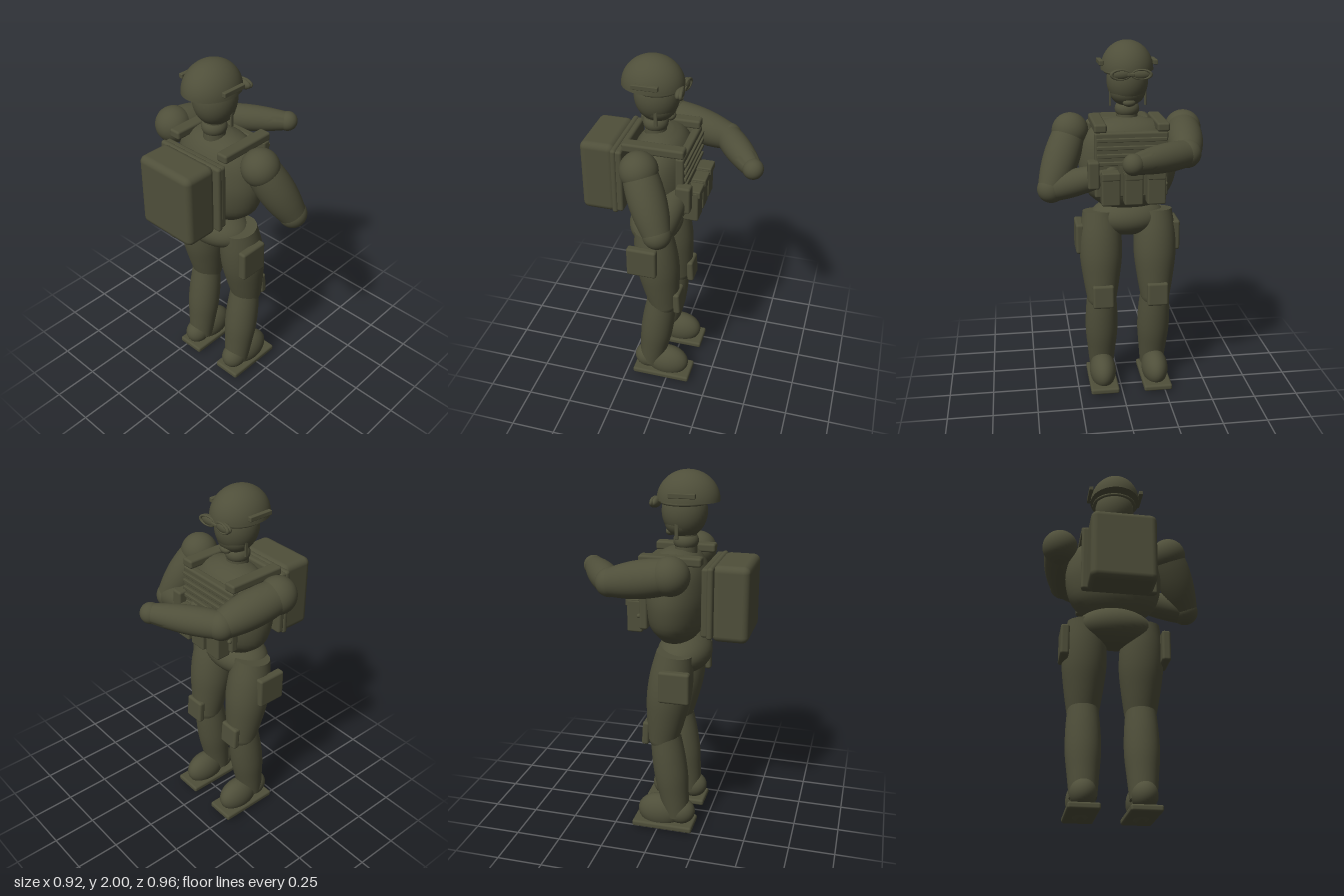
import * as THREE from 'three';
import { toCreasedNormals } from 'three/addons/utils/BufferGeometryUtils.js';
import { RoundedBoxGeometry } from 'three/addons/geometries/RoundedBoxGeometry.js';

const CX = -0.05; // body centre line
const V = (x, y, z) => new THREE.Vector3(x, y, z);

export function createModel() {
  const model = new THREE.Group();
  model.name = 'figure';
  const olive = new THREE.MeshStandardMaterial({ color: 0x4f4f3a });
  olive.name = 'olive';

  const add = (name, geometry, x = 0, y = 0, z = 0) => {
    const mesh = new THREE.Mesh(geometry, olive);
    mesh.name = name;
    mesh.position.set(x, y, z);
    model.add(mesh);
    return mesh;
  };
  const ball = (name, x, y, z, rx, ry = rx, rz = rx) =>
    add(name, new THREE.SphereGeometry(1, 40, 24).scale(rx, ry, rz), x, y, z);
  // box given by its limits on each axis
  const box = (name, [x0, x1], [y0, y1], [z0, z1], r = 0.01) =>
    add(name, new RoundedBoxGeometry(x1 - x0, y1 - y0, z1 - z0, 3, r),
      (x0 + x1) / 2, (y0 + y1) / 2, (z0 + z1) / 2);
  // smooth turned shape with flat ends
  const turned = (profile) => {
    const pts = new THREE.SplineCurve(profile.map(([r, y]) => new THREE.Vector2(r, y))).getPoints(24);
    pts.unshift(new THREE.Vector2(0, pts[0].y));
    pts.push(new THREE.Vector2(0, pts[pts.length - 1].y));
    return toCreasedNormals(new THREE.LatheGeometry(pts, 40), 0.8);
  };
  // limb from a to b with radii spaced evenly along it
  const limb = (name, a, b, radii) => {
    const d = b.clone().sub(a), len = d.length();
    const m = add(name, turned(radii.map((r, i) => [r, len * i / (radii.length - 1)])), a.x, a.y, a.z);
    m.quaternion.setFromUnitVectors(V(0, 1, 0), d.normalize());
  };

  // Torso and pelvis
  const torso = turned([[0.15, 1.11], [0.235, 1.19], [0.27, 1.31], [0.265, 1.41],
    [0.235, 1.5], [0.17, 1.565], [0.08, 1.595]]);
  add('torso', torso.scale(1, 1, 0.63), CX, 0, 0.07);
  ball('pelvis', CX, 1.025, 0.108, 0.21, 0.11, 0.147);

  // Neck, head and chin
  ball('neck', CX, 1.635, 0.108, 0.067, 0.055, 0.067);
  add('neckColumn', new THREE.CylinderGeometry(0.055, 0.06, 0.14, 32), CX, 1.63, 0.108);
  ball('head', CX, 1.79, 0.1, 0.112, 0.14, 0.12);
  ball('jaw', CX, 1.735, 0.09, 0.098, 0.082, 0.095);
  ball('chin', CX, 1.68, 0.025, 0.035, 0.022, 0.025);

  // Helmet dome with closed underside
  const dome = [new THREE.Vector2(0, 0)];
  for (let i = 0; i <= 20; i++) {
    const t = i / 20 * Math.PI / 2;
    dome.push(new THREE.Vector2(Math.cos(t), Math.sin(t)));
  }
  dome[dome.length - 1].x = 0;
  add('helmet', toCreasedNormals(new THREE.LatheGeometry(dome, 48), 0.8).scale(0.142, 0.155, 0.165), CX, 1.845, 0.119);
  const strap = add('goggleStrap', new THREE.TorusGeometry(0.118, 0.009, 10, 48), CX, 1.838, 0.098);
  strap.rotation.x = Math.PI / 2;

  // Goggles
  for (const s of [-1, 1]) {
    ball('goggleLens', CX + s * 0.055, 1.838, -0.035, 0.056, 0.028, 0.022);
    const rim = add('goggleRim', new THREE.TorusGeometry(0.044, 0.009, 10, 32).scale(1.1, 0.55, 1), CX + s * 0.055, 1.838, -0.045);
    rim.rotation.y = s * 0.12;
    // Helmet rails and chin straps
    const rx = CX + s * 0.146;
    box('helmetRail', [rx - 0.012, rx + 0.012], [1.875, 1.9], [0.05, 0.19], 0.004);
    const cx = CX + s * 0.096;
    box('chinStrap', [cx - 0.005, cx + 0.005], [1.655, 1.84], [0.072, 0.09], 0.003);
  }
  box('goggleBridge', [CX - 0.02, CX + 0.02], [1.83, 1.846], [-0.055, -0.02], 0.005);

  // Legs
  for (const s of [-1, 1]) {
    const x = CX + s * 0.155;
    limb('thigh', V(x, 0.555, 0.025), V(x, 1.065, 0.09), [0.084, 0.105, 0.12, 0.117, 0.098]);
    ball('knee', x, 0.57, 0.03, 0.085);
    limb('shin', V(x - s * 0.003, 0.09, 0.105), V(x, 0.575, 0.04), [0.07, 0.082, 0.093, 0.092, 0.083]);
    ball('heel', x, 0.11, 0.128, 0.068, 0.075, 0.08);
    ball('boot', x, 0.1, 0.008, 0.076, 0.1, 0.128);
    box('sole', [x - 0.082, x + 0.082], [0.015, 0.05], [-0.14, 0.205], 0.012);
    const pad = box('kneePad', [x - 0.06, x + 0.06], [0.53, 0.665], [-0.08, -0.04], 0.014);
    pad.rotation.x = 0.06;
    const px = CX + s * 0.272;
    box('thighPouch', [px - 0.024, px + 0.024], [0.825, 1.0], [0.032, 0.2], 0.014);
  }

  // Raised right arm, reaching forward and across
  const arm = (shoulder, elbow, hand, handRadius) => {
    ball('shoulder', shoulder.x, shoulder.y, shoulder.z, 0.1);
    limb('upperArm', shoulder, elbow, [0.088, 0.097, 0.098, 0.09, 0.074]);
    ball('elbow', elbow.x, elbow.y, elbow.z, 0.076);
    limb('forearm', elbow, hand, [0.07, 0.075, 0.073, 0.064, 0.05]);
    ball('hand', hand.x, hand.y, hand.z, handRadius);
  };
  arm(V(-0.36, 1.52, 0.105), V(-0.315, 1.455, -0.225), V(-0.007, 1.457, -0.423), 0.055);
  // Lowered left arm, bent across the chest
  arm(V(0.263, 1.52, 0.105), V(0.38, 1.232, -0.02), V(0.06, 1.32, -0.06), 0.055);

  // Backpack and the plate it hangs on
  box('backpack', [-0.225, 0.13], [1.145, 1.55], [0.285, 0.478], 0.035);
  box('backPlateOuter', [-0.255, 0.16], [1.165, 1.545], [0.265, 0.297], 0.014);
  box('backPlateInner', [-0.25, 0.155], [1.175, 1.54], [0.235, 0.275], 0.014);

  // Chest plate with webbing
  box('chestPlate', [-0.245, 0.15], [1.19, 1.545], [-0.095, -0.05], 0.012);
  for (let i = 0; i < 4; i++) {
    const y = 1.37 + i * 0.042;
    box('webbing', [-0.235, 0.14], [y, y + 0.02], [-0.108, -0.09], 0.004);
  }
  for (const s of [-1, 1]) {
    const x = CX + s * 0.168;
    box('shoulderStrap', [x - 0.034, x + 0.034], [1.543, 1.59], [-0.095, 0.235], 0.012);
  }

  // Three magazine pouches with flaps
  for (let i = -1; i <= 1; i++) {
    const x = CX + i * 0.122;
    box('magazinePouch', [x - 0.05, x + 0.05], [1.165, 1.34], [-0.168, -0.085], 0.01);
    box('pouchFlap', [x - 0.048, x + 0.048], [1.305, 1.347], [-0.177, -0.1], 0.007);
  }
  // Side pouch and a small buckle opposite
  box('sidePouch', [0.128, 0.19], [1.25, 1.4], [-0.14, -0.06], 0.012);
  ball('buckle', -0.232, 1.26, -0.098, 0.012);

  return model;
}
